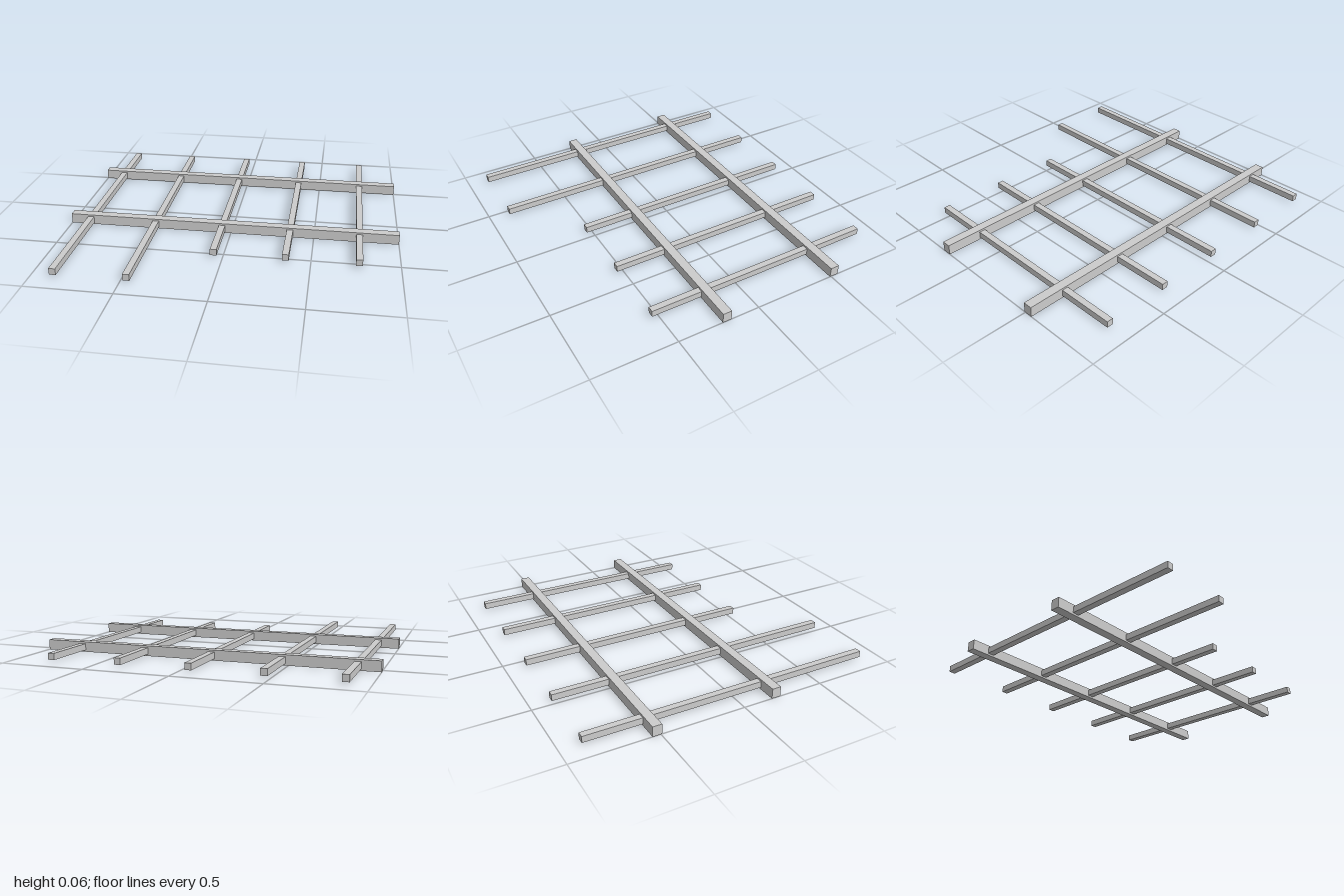
import * as THREE from 'three';

export function createModel() {
  const model = new THREE.Group();
  const material = new THREE.MeshStandardMaterial({ color: 0xcccccc, flatShading: true });
  const beamHeight = 0.06;

  const addBar = (name, w, h, d, x, z) => {
    const bar = new THREE.Mesh(new THREE.BoxGeometry(w, h, d), material);
    bar.name = name;
    bar.position.set(x, beamHeight / 2, z);
    model.add(bar);
  };

  // Two thick beams running along x
  addBar('frontBeam', 2, beamHeight, 0.054, 0, 0.203);
  addBar('backBeam', 2, beamHeight, 0.054, 0, -0.52);

  // Five thin slats through the beams; the first two reach further forward
  const slat = 0.038, backZ = -0.88;
  for (let i = 0; i < 5; i++) {
    const frontZ = i < 2 ? 0.88 : 0.537;
    addBar(`slat${i + 1}`, slat, slat, frontZ - backZ, -0.876 + i * 0.411, (frontZ + backZ) / 2);
  }

  return model;
}
